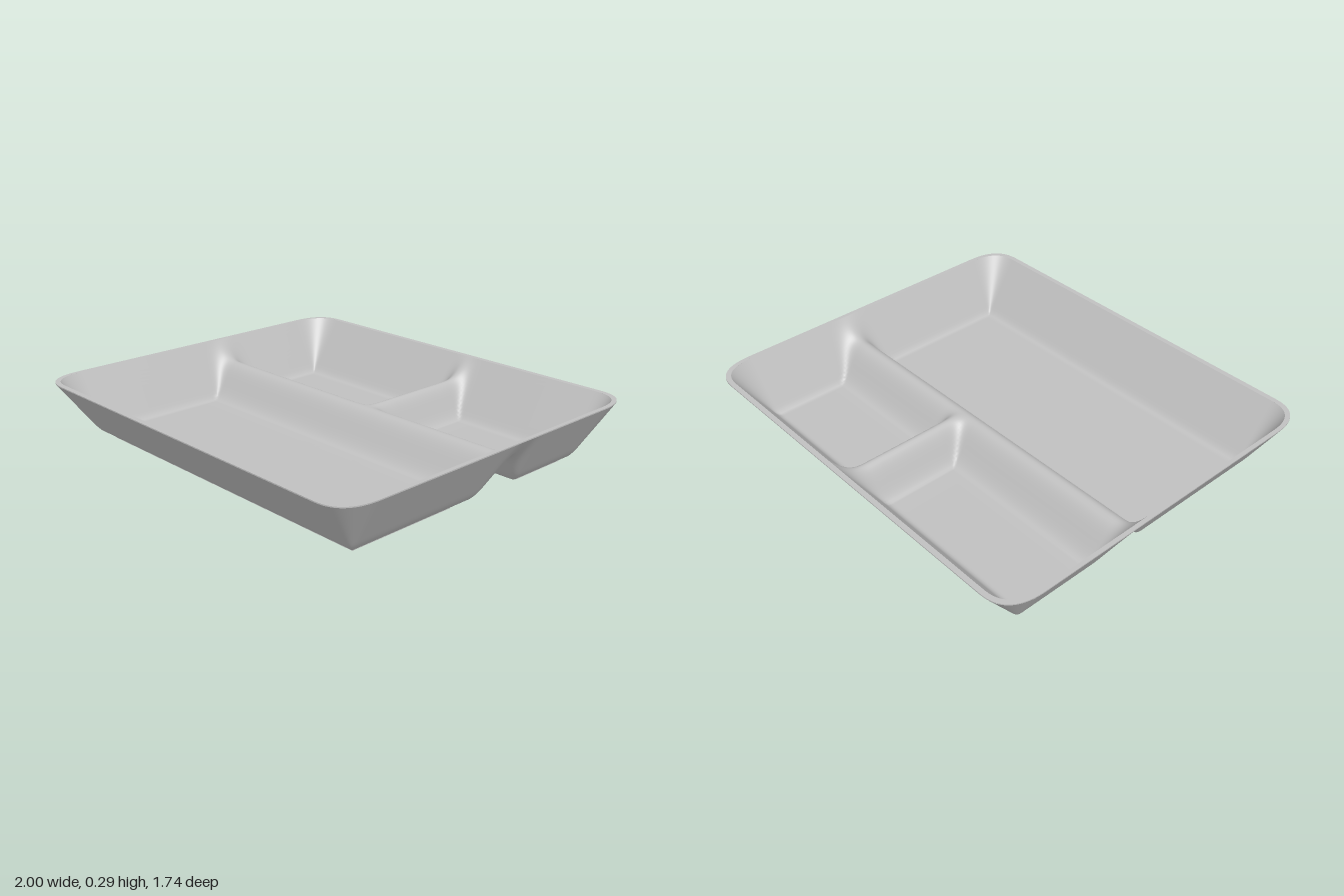
import * as THREE from 'three';

// Floor edges and wall widths; t runs from 0 at the floor edge to 1 at the rim
const FX = 0.84, WX = 0.16, FZ = 0.67, WZ = 0.20;
const T_LIP = 0.88, TOP = 0.295, POWER = 2.6;
const RIDGE_Z = -0.143, RIDGE_W = 0.17, DIVIDER_X = 0.098, DIVIDER_W = 0.125;

const tx = (x) => (Math.abs(x) - FX) / WX;
const tz = (z) => (Math.abs(z) - FZ) / WZ;

// Rounds the corners of the rectangular grid
function roundCorner(x, z) {
  const a = tx(x), b = tz(z);
  if (a <= 0 || b <= 0) return [x, z];
  const s = Math.max(a, b) / Math.pow(a ** POWER + b ** POWER, 1 / POWER);
  return [Math.sign(x) * (FX + WX * a * s), Math.sign(z) * (FZ + WZ * b * s)];
}

// Straight ramp with a soft foot of size k
const ramp = (t, k) => (t < -k ? 0 : t > k ? t : (t + k) ** 2 / (4 * k));
const bell = (d, w) => (Math.abs(d) >= w ? 0 : 0.5 + 0.5 * Math.cos((Math.PI * d) / w));
// Filleted maximum of two values between 0 and 1
function blend(a, b, p = 3) {
  const u = a ** p, v = b ** p;
  return Math.pow(Math.max(0, u + v - u * v), 1 / p);
}

// Height from 0 (floor) to 1 (rim), from walls and dividing ridges
function relief(x, z, tRim, soft, peak) {
  const wall = Math.min(1, ramp(Math.max(tx(x), tz(z)) / tRim, soft));
  const cross = bell(z - RIDGE_Z, RIDGE_W);
  const divider = z < RIDGE_Z ? bell(x - DIVIDER_X, DIVIDER_W) : 0;
  return blend(wall, peak * blend(cross, divider));
}

// Grid lines: each stop is [position, number of steps leading to it]
function gridLines(start, stops) {
  const out = [start];
  let prev = start;
  for (const [end, n] of stops) {
    for (let i = 1; i <= n; i++) out.push(prev + ((end - prev) * i) / n);
    prev = end;
  }
  return out;
}

// Smooth tray skin reaching out to contour tMax
function skin(tMax, height, faceUp) {
  const ex = FX + WX * tMax, ez = FZ + WZ * tMax, ix = FX - WX * 0.25, iz = FZ - WZ * 0.25;
  const xs = gridLines(-ex, [[-ix, 20], [DIVIDER_X - DIVIDER_W, 8], [DIVIDER_X, 14],
    [DIVIDER_X + DIVIDER_W, 14], [ix, 8], [ex, 20]]);
  const zs = gridLines(-ez, [[-iz, 20], [RIDGE_Z - RIDGE_W, 6], [RIDGE_Z, 16],
    [RIDGE_Z + RIDGE_W, 16], [iz, 8], [ez, 20]]);
  const pos = [], index = [], n = zs.length;
  for (const x of xs) {
    for (const z of zs) {
      const [px, pz] = roundCorner(x, z);
      pos.push(px, height(x, z), pz);
    }
  }
  for (let i = 0; i < xs.length - 1; i++) {
    for (let j = 0; j < n - 1; j++) {
      const a = i * n + j, b = a + 1, c = a + n, d = c + 1;
      // Quad diagonals follow the corner mitres
      const same = (xs[i] + xs[i + 1]) * (zs[j] + zs[j + 1]) > 0;
      const tris = same ? [a, b, d, a, d, c] : [a, b, c, b, d, c];
      if (!faceUp) tris.reverse();
      index.push(...tris);
    }
  }
  const geo = new THREE.BufferGeometry();
  geo.setAttribute('position', new THREE.Float32BufferAttribute(pos, 3));
  geo.setIndex(index);
  geo.computeVertexNormals();
  return geo;
}

// Rounded outline of the tray at contour t
function outline(t) {
  const pts = [], steps = 20, ex = FX + WX * t, ez = FZ + WZ * t;
  for (const [sx, sz, flip] of [[1, 1, false], [-1, 1, true], [-1, -1, false], [1, -1, true]]) {
    const corner = [];
    for (let i = 0; i <= steps; i++) {
      const a = t * Math.min(1, (2 * i) / steps), b = t * Math.min(1, 2 - (2 * i) / steps);
      const p = roundCorner(sx * (a < t ? FX + WX * a : ex), sz * (b < t ? FZ + WZ * b : ez));
      corner.push(new THREE.Vector2(p[0], p[1]));
    }
    // Run each corner counter-clockwise
    pts.push(...(flip ? corner : corner.reverse()));
  }
  return pts;
}

function rectangle(x0, x1, z0, z1) {
  return [[x0, z0], [x1, z0], [x1, z1], [x0, z1]].map(([x, z]) => new THREE.Vector2(x, z));
}

// Flat ring between two outlines, standing on y
function frame(outer, inner, y, depth) {
  const shape = new THREE.Shape(outer);
  shape.holes.push(new THREE.Path(inner));
  const geo = new THREE.ExtrudeGeometry(shape, { depth, bevelEnabled: false });
  geo.rotateX(Math.PI / 2);
  geo.translate(0, y + depth, 0);
  return geo;
}

export function createModel() {
  const group = new THREE.Group();
  const grey = new THREE.MeshStandardMaterial({ color: 0xc0c0c0 });
  grey.name = 'light grey';
  const add = (name, geo) => {
    const mesh = new THREE.Mesh(geo, grey);
    mesh.name = name;
    group.add(mesh);
  };

  // Inner and outer skins of the thin tray
  add('innerSurface', skin(T_LIP, (x, z) => 0.032 + (TOP - 0.032) * relief(x, z, T_LIP, 0.1, 0.64), true));
  add('outerSurface', skin(1, (x, z) => 0.018 + (TOP - 0.023) * relief(x, z, 1, 0.2, 0.61), false));
  add('rim', frame(outline(1), outline(T_LIP), TOP - 0.005, 0.005));

  // Narrow foot ring under each compartment
  const feet = [['frontFoot', -0.8, 0.8, 0.08, 0.63], ['backRightFoot', -0.8, -0.07, -0.65, -0.35],
    ['backLeftFoot', 0.26, 0.8, -0.65, -0.35]];
  const w = 0.02;
  for (const [name, x0, x1, z0, z1] of feet) {
    add(name, frame(rectangle(x0, x1, z0, z1), rectangle(x0 + w, x1 - w, z0 + w, z1 - w), 0, 0.022));
  }
  return group;
}
